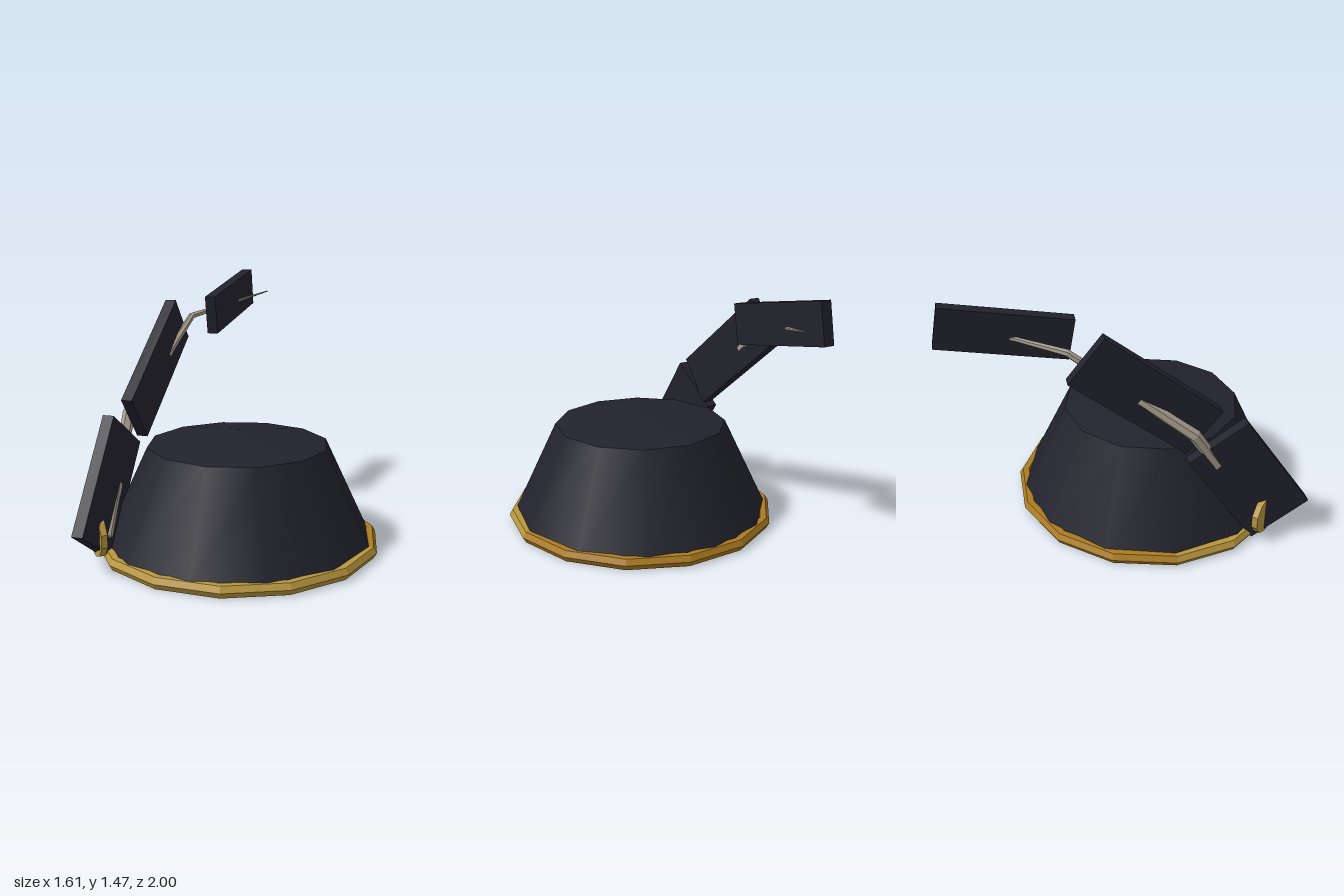
import * as THREE from 'three';

const V = (x, y, z) => new THREE.Vector3(x, y, z);

// Faceted tapering spine through a list of { p, r } stations
function spineGeometry(stations, sides = 6) {
  const pos = [], idx = [], last = stations.length - 1;
  stations.forEach(({ p, r }, i) => {
    const a = stations[Math.max(i - 1, 0)].p, b = stations[Math.min(i + 1, last)].p;
    const t = b.clone().sub(a).normalize();
    const u = t.clone().cross(V(1, 0, 0)).normalize();
    const v = t.clone().cross(u);
    for (let j = 0; j < sides; j++) {
      const ang = (j / sides) * Math.PI * 2;
      const q = p.clone().addScaledVector(u, r * Math.cos(ang)).addScaledVector(v, r * Math.sin(ang));
      pos.push(q.x, q.y, q.z);
    }
  });
  for (let i = 0; i < last; i++) {
    for (let j = 0; j < sides; j++) {
      const a = i * sides + j, b = i * sides + (j + 1) % sides;
      idx.push(a, b, b + sides, a, b + sides, a + sides);
    }
  }
  const g = new THREE.BufferGeometry();
  g.setAttribute('position', new THREE.Float32BufferAttribute(pos, 3));
  g.setIndex(idx);
  const flat = g.toNonIndexed();
  flat.computeVertexNormals();
  return flat;
}

export function createModel() {
  const model = new THREE.Group();
  model.name = 'hatWithPlatedTail';

  const material = (name, color, extra = {}) => {
    const m = new THREE.MeshStandardMaterial({ color, ...extra });
    m.name = name;
    return m;
  };
  const dark = material('darkCloth', 0x22222d, { side: THREE.DoubleSide });
  const brass = material('paleGold', 0xb8963e, { side: THREE.DoubleSide, flatShading: true });
  const amber = material('deepGold', 0xaa7a20, { side: THREE.DoubleSide, flatShading: true });
  const bone = material('bone', 0xa89f8e, { flatShading: true });

  const add = (name, geometry, mat, parent = model) => {
    const mesh = new THREE.Mesh(geometry, mat);
    mesh.name = name;
    parent.add(mesh);
    return mesh;
  };

  // Hat: open-bottomed crown, shallow pointed top and a two-part rim
  const hat = new THREE.Group();
  hat.name = 'hat';
  hat.position.z = 0.21;
  model.add(hat);
  add('crownWall', new THREE.CylinderGeometry(0.512, 0.775, 0.555, 12, 1, true), dark, hat).position.y = 0.3125;
  add('crownTop', new THREE.ConeGeometry(0.512, 0.08, 12, 1, true), dark, hat).position.y = 0.63;

  const rimArc = () => new THREE.TorusGeometry(0.769, 0.0375, 6, 7, Math.PI);
  add('frontRim', rimArc().rotateX(Math.PI / 2), brass, hat).position.y = 0.0325;
  add('backRim', rimArc().rotateX(-Math.PI / 2), amber, hat).position.y = 0.0325;

  // Tail plates, each tilted about the x axis
  const plates = [
    { name: 'lowerPlate', at: [-0.6, 0.4, 0.645], width: 0.386, length: 0.682, tilt: 55.1 },
    { name: 'middlePlate', at: [-0.555, 0.972, 0.067], width: 0.31, length: 0.8, tilt: 37.9 },
    { name: 'upperPlate', at: [-0.348, 1.3, -0.635], width: 0.23, length: 0.7, tilt: 9.9 },
  ];
  for (const { name, at, width, length, tilt } of plates) {
    const plate = add(name, new THREE.BoxGeometry(0.065, width, length), dark);
    plate.position.set(...at);
    plate.rotation.x = THREE.MathUtils.degToRad(tilt);
  }

  // Bent spine threading through the plates
  add('tailSpine', spineGeometry([
    { p: V(-0.575, 0.13, 0.715), r: 0.001 },
    { p: V(-0.576, 0.14, 0.708), r: 0.028 },
    { p: V(-0.62, 0.74, 0.32), r: 0.036 },
    { p: V(-0.492, 1.228, -0.33), r: 0.02 },
    { p: V(-0.206, 1.333, -0.97), r: 0.004 },
  ]), bone);

  // Gold disc fixing the tail to the rim
  const disc = add('tailDisc', new THREE.CylinderGeometry(0.115, 0.115, 0.035, 10).rotateX(Math.PI / 2), brass);
  disc.position.set(-0.61, 0.155, 0.75);
  disc.rotation.y = -Math.PI / 4;

  return model;
}
